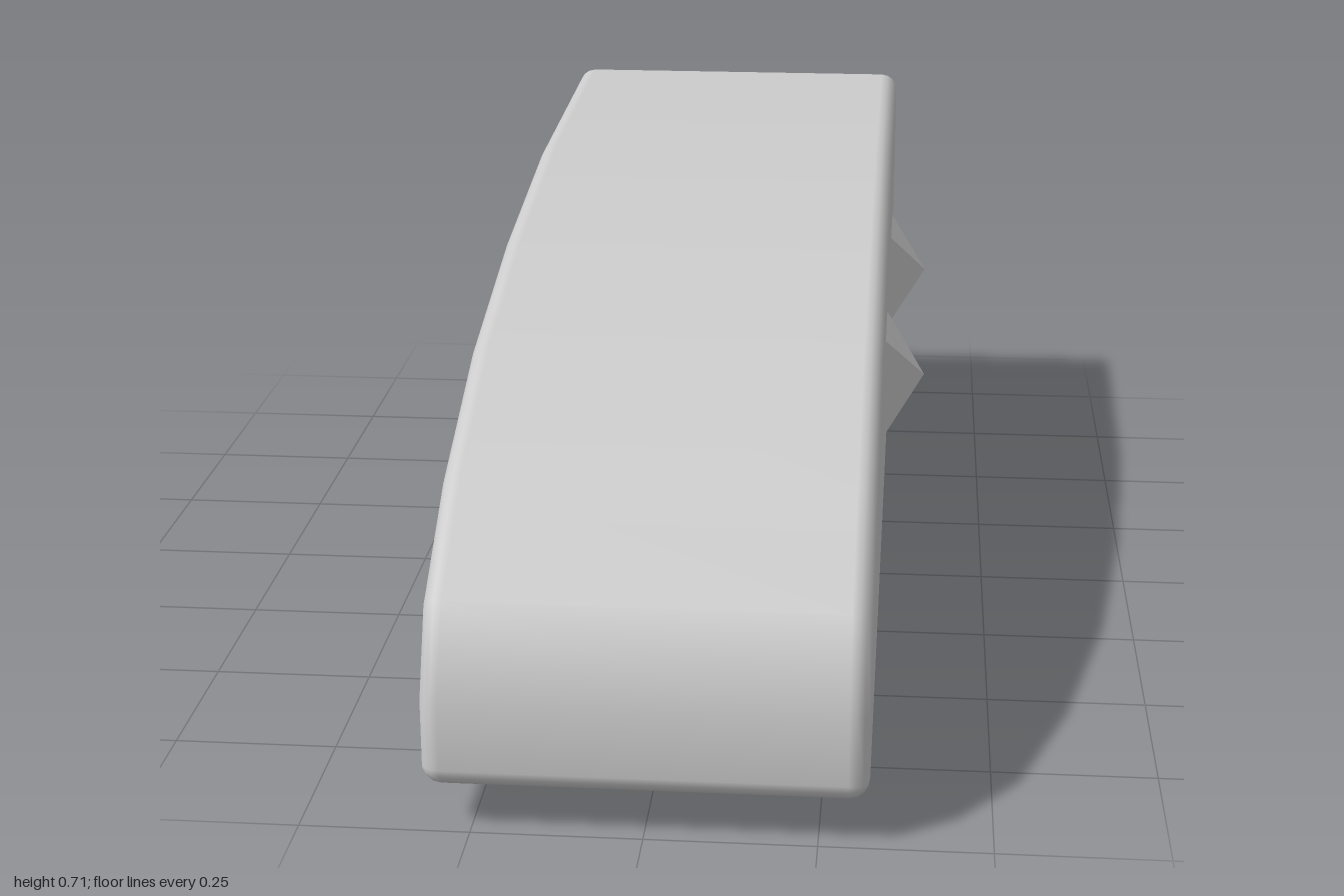
import * as THREE from 'three';

const HALF_WIDTH = 0.322, EDGE = 0.03, BOTTOM = 0.067, TOP = 0.712, BACK = -0.935;
const SPIKE_HALF = 0.085, SPIKE_HEIGHT = 0.066;

// Side outline as [z, y, normalZ, normalY], counter-clockwise from the lower front corner
function sideOutline() {
  const rim = [];
  const corner = (z, y, start) => {
    for (let i = 0; i <= 4; i++) {
      const a = start + (i / 4) * Math.PI / 2, c = Math.cos(a), s = Math.sin(a);
      rim.push([z + EDGE * c, y + EDGE * s, c, s]);
    }
  };
  corner(1 - EDGE, BOTTOM + EDGE, -Math.PI / 2);
  // Curved nose and roof
  const curve = [[1, BOTTOM + EDGE], [1, 0.2], [0.94, 0.335], [0.755, 0.455], [0.47, 0.565],
    [0.11, 0.641], [-0.32, 0.693], [BACK + EDGE, TOP]];
  const slope = (a, b) => Math.atan2(a[0] - b[0], b[1] - a[1]);
  for (let i = 1; i < curve.length - 1; i++) {
    const a = (slope(curve[i - 1], curve[i]) + slope(curve[i], curve[i + 1])) / 2;
    rim.push([...curve[i], Math.cos(a), Math.sin(a)]);
  }
  corner(BACK + EDGE, TOP - EDGE, Math.PI / 2);
  corner(BACK + EDGE, BOTTOM + EDGE, Math.PI);
  return rim;
}

// Sweep the outline across the width, rounding both side edges
function bodyGeometry() {
  const rim = sideOutline(), n = rim.length, steps = 4;
  const position = [], normal = [], index = [];
  let rows = 0;
  for (const side of [-1, 1]) {
    for (let k = 0; k <= steps; k++) {
      const a = (side < 0 ? k - steps : k) / steps * Math.PI / 2;
      const c = Math.cos(a), s = Math.sin(a);
      for (const [z, y, nz, ny] of rim) {
        position.push(side * (HALF_WIDTH - EDGE) + EDGE * s, y - EDGE * ny * (1 - c), z - EDGE * nz * (1 - c));
        normal.push(s, ny * c, nz * c);
      }
      rows++;
    }
  }
  for (let i = 0; i < rows - 1; i++) {
    for (let j = 0; j < n; j++) {
      const a = i * n + j, b = i * n + (j + 1) % n;
      index.push(a, a + n, b, b, a + n, b + n);
    }
  }
  // Flat side faces
  for (const side of [-1, 1]) {
    const centre = position.length / 3, row = side < 0 ? 0 : (rows - 1) * n;
    position.push(side * HALF_WIDTH, 0.35, -0.1);
    normal.push(side, 0, 0);
    for (let j = 0; j < n; j++) {
      const a = row + j, b = row + (j + 1) % n;
      if (side < 0) index.push(centre, a, b);
      else index.push(centre, b, a);
    }
  }
  const geometry = new THREE.BufferGeometry();
  geometry.setAttribute('position', new THREE.Float32BufferAttribute(position, 3));
  geometry.setAttribute('normal', new THREE.Float32BufferAttribute(normal, 3));
  geometry.setIndex(index);
  return geometry;
}

export function createModel() {
  const group = new THREE.Group();
  const smooth = new THREE.MeshStandardMaterial({ color: 0xcccccc });
  const faceted = new THREE.MeshStandardMaterial({ color: 0xcccccc, flatShading: true });

  const body = new THREE.Mesh(bodyGeometry(), smooth);
  body.name = 'body';
  group.add(body);

  // Square pyramid studs, base on the surface and tip pointing outward
  const pyramid = new THREE.ConeGeometry(SPIKE_HALF * Math.SQRT2, SPIKE_HEIGHT, 4)
    .rotateY(Math.PI / 4).translate(0, SPIKE_HEIGHT / 2, 0);
  const addStud = (name, at, rotation) => {
    const stud = new THREE.Mesh(pyramid, faceted);
    stud.name = name;
    stud.position.set(...at);
    stud.rotation.set(...rotation);
    group.add(stud);
  };
  for (const z of [0.68, 0.035, -0.61]) addStud('bottomStud', [0, BOTTOM, z], [Math.PI, 0, 0]);
  for (const z of [0.035, -0.61]) {
    addStud('leftStud', [HALF_WIDTH, 0.39, z], [0, 0, -Math.PI / 2]);
    addStud('rightStud', [-HALF_WIDTH, 0.39, z], [0, 0, Math.PI / 2]);
  }
  addStud('backStud', [0, 0.39, BACK], [-Math.PI / 2, 0, 0]);
  return group;
}
